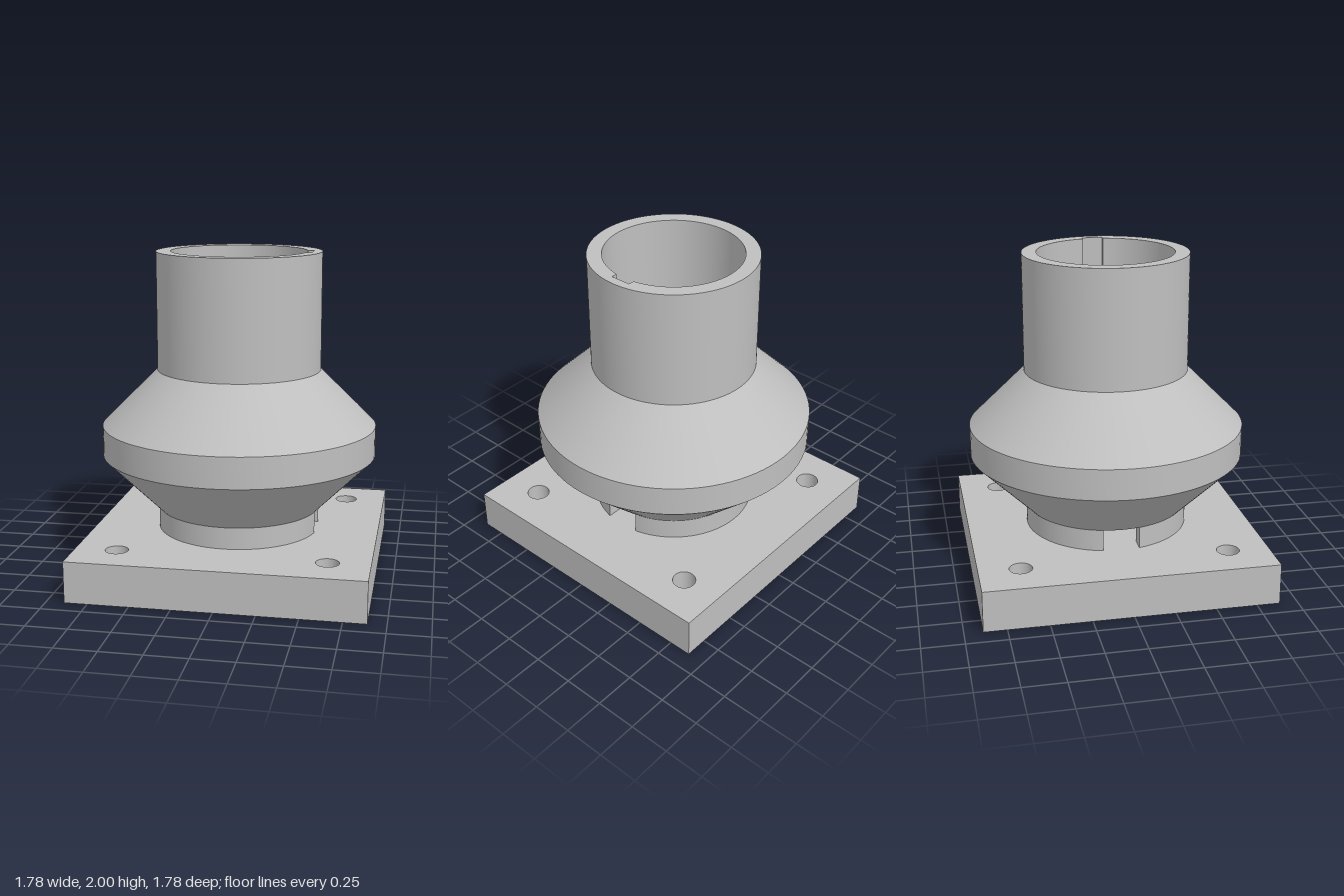
import * as THREE from 'three';
import { toCreasedNormals } from 'three/addons/utils/BufferGeometryUtils.js';

const OUTER = 0.51, BORE = 0.42;
const BASE_TOP = 0.255, SLOT_TOP = 0.39, TOP = 2;

export function createModel() {
  const group = new THREE.Group();
  const grey = new THREE.MeshStandardMaterial({ color: 0xbfbfbf });
  grey.name = 'plain grey';

  const add = (name, geometry) => {
    const mesh = new THREE.Mesh(toCreasedNormals(geometry, 0.5), grey);
    mesh.name = name;
    group.add(mesh);
    return mesh;
  };
  // Extrude a plan outline upwards from y0 to y1
  const rise = (shape, y0, y1) =>
    new THREE.ExtrudeGeometry(shape, { depth: y1 - y0, bevelEnabled: false, curveSegments: 72 })
      .rotateX(-Math.PI / 2).translate(0, y0, 0);

  // Square base plate with four bolt holes
  const s = 0.89, h = 0.635;
  const plate = new THREE.Shape([[-s, -s], [s, -s], [s, s], [-s, s]].map(p => new THREE.Vector2(...p)));
  for (const x of [-h, h]) for (const z of [-h, h]) {
    plate.holes.push(new THREE.Path().absarc(x, z, 0.07, 0, Math.PI * 2, true));
  }
  add('basePlate', rise(plate, 0, BASE_TOP));

  // Two curved feet, leaving a straight slot through along x
  const slot = 0.112;
  const a = Math.asin(slot / OUTER), b = Math.asin(slot / BORE);
  const foot = new THREE.Shape();
  foot.absarc(0, 0, OUTER, a, Math.PI - a, false);
  foot.absarc(0, 0, BORE, Math.PI - b, b, true);
  foot.closePath();
  add('backFoot', rise(foot, BASE_TOP, SLOT_TOP));
  add('frontFoot', rise(foot, BASE_TOP, SLOT_TOP).rotateY(Math.PI));

  // Tube with a keyway along the +x side of its bore
  const key = 0.065, k = Math.asin(key / BORE);
  const tube = new THREE.Shape().absarc(0, 0, OUTER, 0, Math.PI * 2, false);
  const bore = new THREE.Path();
  bore.absarc(0, 0, BORE, k, Math.PI * 2 - k, false);
  bore.lineTo(0.453, -key);
  bore.lineTo(0.453, key);
  bore.closePath();
  tube.holes.push(bore);
  add('keyedTube', rise(tube, SLOT_TOP, TOP));

  // Double-cone collar around the tube
  const profile = [[OUTER, SLOT_TOP], [0.857, 0.735], [0.857, 0.925], [OUTER, 1.27]];
  add('collar', new THREE.LatheGeometry(profile.map(p => new THREE.Vector2(...p)), 96));

  return group;
}
